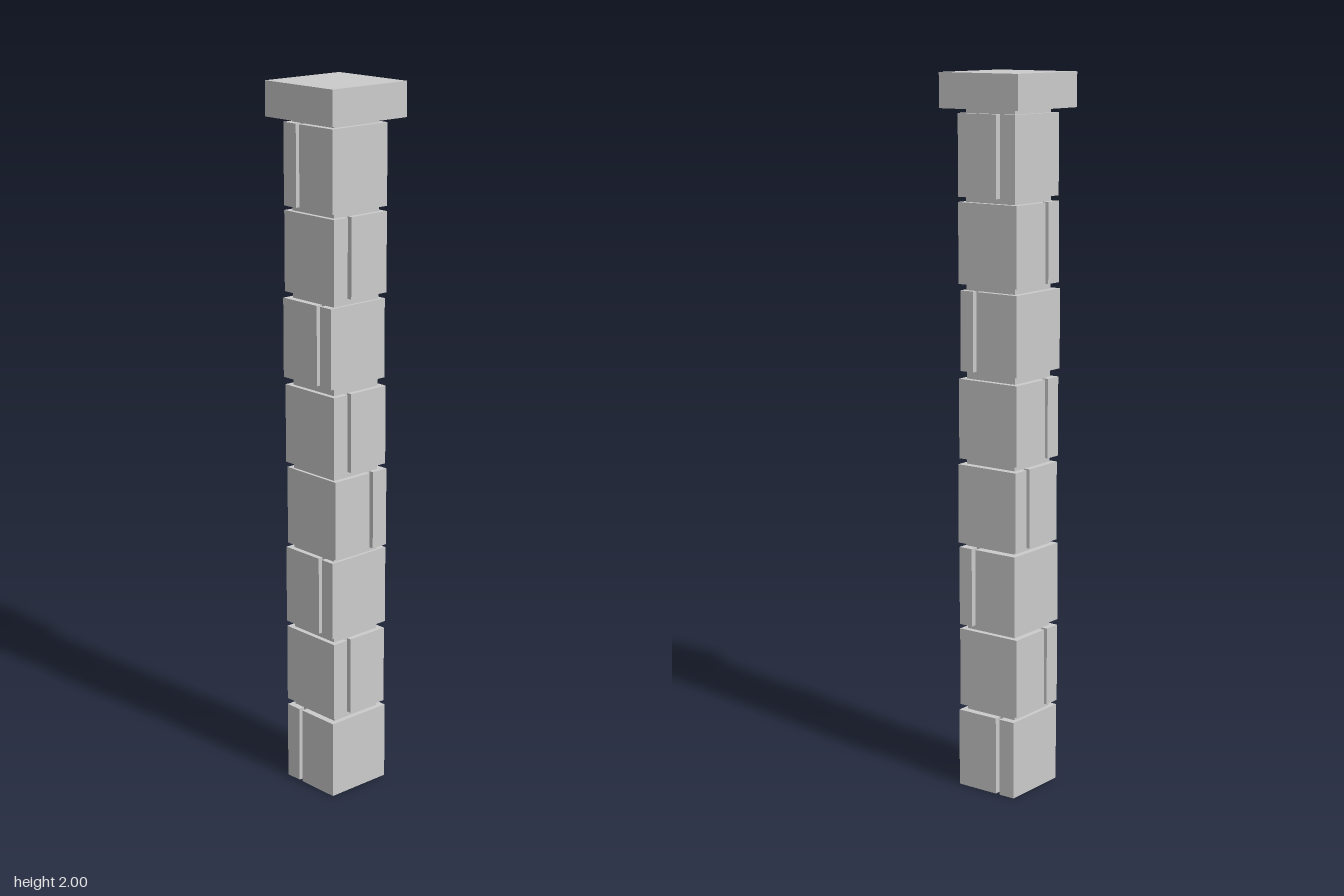
import * as THREE from 'three';

const material = new THREE.MeshStandardMaterial({ color: 0xcccccc, flatShading: true });

// Box given by its lower and upper limits on each axis
function block(name, [x0, x1], [y0, y1], [z0, z1]) {
  const geometry = new THREE.BoxGeometry(x1 - x0, y1 - y0, z1 - z0);
  const mesh = new THREE.Mesh(geometry, material);
  mesh.position.set((x0 + x1) / 2, (y0 + y1) / 2, (z0 + z1) / 2);
  mesh.name = name;
  return mesh;
}

// Courses from the ground up: height, footprint, and the joint that splits each in two
const courses = [
  { y: [0, 0.222], x: [-0.095, 0.096], z: [-0.102, 0.1], split: 'x', joint: [-0.046, -0.033] },
  { y: [0.237, 0.46], x: [-0.101, 0.096], z: [-0.097, 0.095], split: 'z', joint: [0.033, 0.046] },
  { y: [0.476, 0.699], x: [-0.101, 0.09], z: [-0.106, 0.096], split: 'x', joint: [0.034, 0.047] },
  { y: [0.71, 0.933], x: [-0.101, 0.096], z: [-0.102, 0.09], split: 'z', joint: [-0.051, -0.038] },
  { y: [0.949, 1.172], x: [-0.101, 0.096], z: [-0.097, 0.095], split: 'z', joint: [0.033, 0.046] },
  { y: [1.194, 1.416], x: [-0.101, 0.09], z: [-0.097, 0.101], split: 'x', joint: [0.034, 0.047] },
  { y: [1.433, 1.655], x: [-0.101, 0.096], z: [-0.097, 0.095], split: 'z', joint: [0.033, 0.046] },
  { y: [1.669, 1.892], x: [-0.095, 0.096], z: [-0.097, 0.101], split: 'x', joint: [-0.046, -0.033] },
];

export function createModel() {
  const pillar = new THREE.Group();
  pillar.name = 'brickPillar';

  // Mortar core showing in the joints
  pillar.add(block('mortarCore', [-0.083, 0.081], [0.033, 1.91], [-0.081, 0.081]));

  // Two bricks per course, either side of the joint
  courses.forEach(({ y, x, z, split, joint }, i) => {
    const course = new THREE.Group();
    course.name = `course${i + 1}`;
    const range = split === 'x' ? x : z;
    for (const part of [[range[0], joint[0]], [joint[1], range[1]]]) {
      course.add(split === 'x' ? block('brick', part, y, z) : block('brick', x, y, part));
    }
    pillar.add(course);
  });

  // Cap slab
  pillar.add(block('capSlab', [-0.132, 0.13], [1.905, 2], [-0.134, 0.132]));
  return pillar;
}
